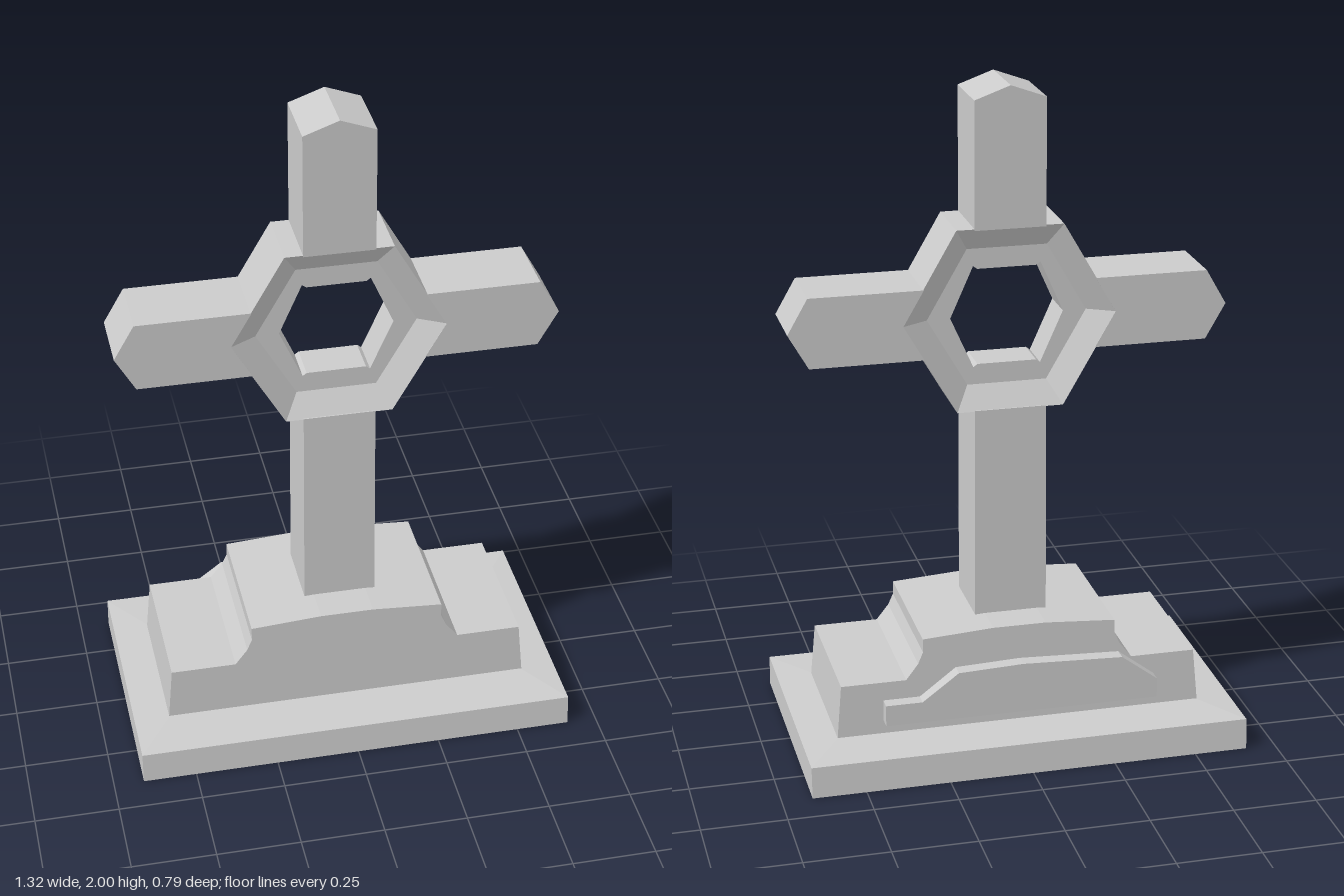
import * as THREE from 'three';

const material = new THREE.MeshStandardMaterial({ color: 0xcccccc, flatShading: true });

// Closed outline from [x, y] pairs
const outline = (pts, Type = THREE.Shape) => new Type(pts.map(([x, y]) => new THREE.Vector2(x, y)));

// Slab of a given thickness centred on z = 0
function prism(shape, depth) {
  const geo = new THREE.ExtrudeGeometry(shape, { depth, bevelEnabled: false });
  return geo.translate(0, 0, -depth / 2);
}

// Four-sided block narrowing from the bottom half-sizes to the top ones
function frustum(x0, z0, y0, x1, z1, y1) {
  const geo = new THREE.BoxGeometry(2, 1, 2);
  const p = geo.attributes.position;
  for (let i = 0; i < p.count; i++) {
    const top = p.getY(i) > 0;
    p.setXYZ(i, p.getX(i) * (top ? x1 : x0), top ? y1 : y0, p.getZ(i) * (top ? z1 : z0));
  }
  return geo;
}

export function createModel() {
  const group = new THREE.Group();
  const add = (name, geo) => {
    const mesh = new THREE.Mesh(geo, material);
    mesh.name = name;
    group.add(mesh);
    return mesh;
  };
  const centreY = 1.315;
  const depth = 0.21;

  // Plinth with a barely sloping top
  add('plinth', frustum(0.66, 0.393, 0, 0.66, 0.386, 0.094));
  add('plinthTop', frustum(0.66, 0.386, 0.094, 0.55, 0.226, 0.1));

  // Stepped pedestal with coved shoulders, leaning in slightly front and back
  const half = [[0.555, 0.09], [0.54, 0.262], [0.345, 0.262], [0.308, 0.31], [0.293, 0.345], [0.293, 0.386]];
  const mirrored = half.map(([x, y]) => [-x, y]).reverse();
  const pedestal = prism(outline([...half, [0.08, 0.4], [-0.08, 0.4], ...mirrored]), 2);
  const p = pedestal.attributes.position;
  for (let i = 0; i < p.count; i++) {
    p.setZ(i, p.getZ(i) * (0.228 - 0.03 * (p.getY(i) - 0.09)));
  }
  add('pedestal', pedestal);

  // Arched plate on the back of the pedestal
  const plate = prism(outline([
    [-0.415, 0.14], [0.415, 0.14], [0.415, 0.205], [0.305, 0.205],
    [0.195, 0.287], [0, 0.295], [-0.305, 0.283], [-0.415, 0.2],
  ]), 0.07);
  add('backPlate', plate).position.z = -0.23;

  // Shaft and pointed upper limb
  add('shaft', frustum(0.109, 0.109, 0.38, 0.107, 0.107, 1.043));
  add('upperLimb', prism(outline([
    [-0.105, 1.585], [0.105, 1.585], [0.105, 1.962], [0, 2], [-0.105, 1.962],
  ]), depth));

  // Pointed side arms, notched to meet the hexagon
  const arm = prism(outline([
    [0.254, -0.105], [0.59, -0.105], [0.65, 0], [0.59, 0.105], [0.254, 0.105], [0.315, 0],
  ]), depth);
  add('leftArm', arm).position.y = centreY;
  const rightArm = add('rightArm', arm);
  rightArm.position.y = centreY;
  rightArm.rotation.z = Math.PI;

  // Hexagonal rim with inward bevels on both faces
  const rim = new THREE.LatheGeometry(
    [[0.317, -0.105], [0.317, 0.105], [0.237, 0.06], [0.237, -0.06], [0.317, -0.105]]
      .map(([r, y]) => new THREE.Vector2(r, y)),
    6, Math.PI / 2,
  ).rotateX(Math.PI / 2);
  add('ringRim', rim).position.y = centreY;

  // Recessed hexagonal web with a six-sided opening, its flats stepped inward
  const web = outline([0, 1, 2, 3, 4, 5].map((i) => {
    const a = (i * Math.PI) / 3;
    return [0.25 * Math.cos(a), 0.25 * Math.sin(a)];
  }));
  const quarter = [[0.1, 0.153], [0.088, 0.144]];
  const upper = [...quarter, ...quarter.map(([x, y]) => [-x, y]).reverse()];
  const hole = [[0.168, 0], ...upper, [-0.168, 0], ...upper.map(([x, y]) => [-x, -y])];
  web.holes.push(outline(hole, THREE.Path));
  add('ringWeb', prism(web, 0.12)).position.y = centreY;

  return group;
}
